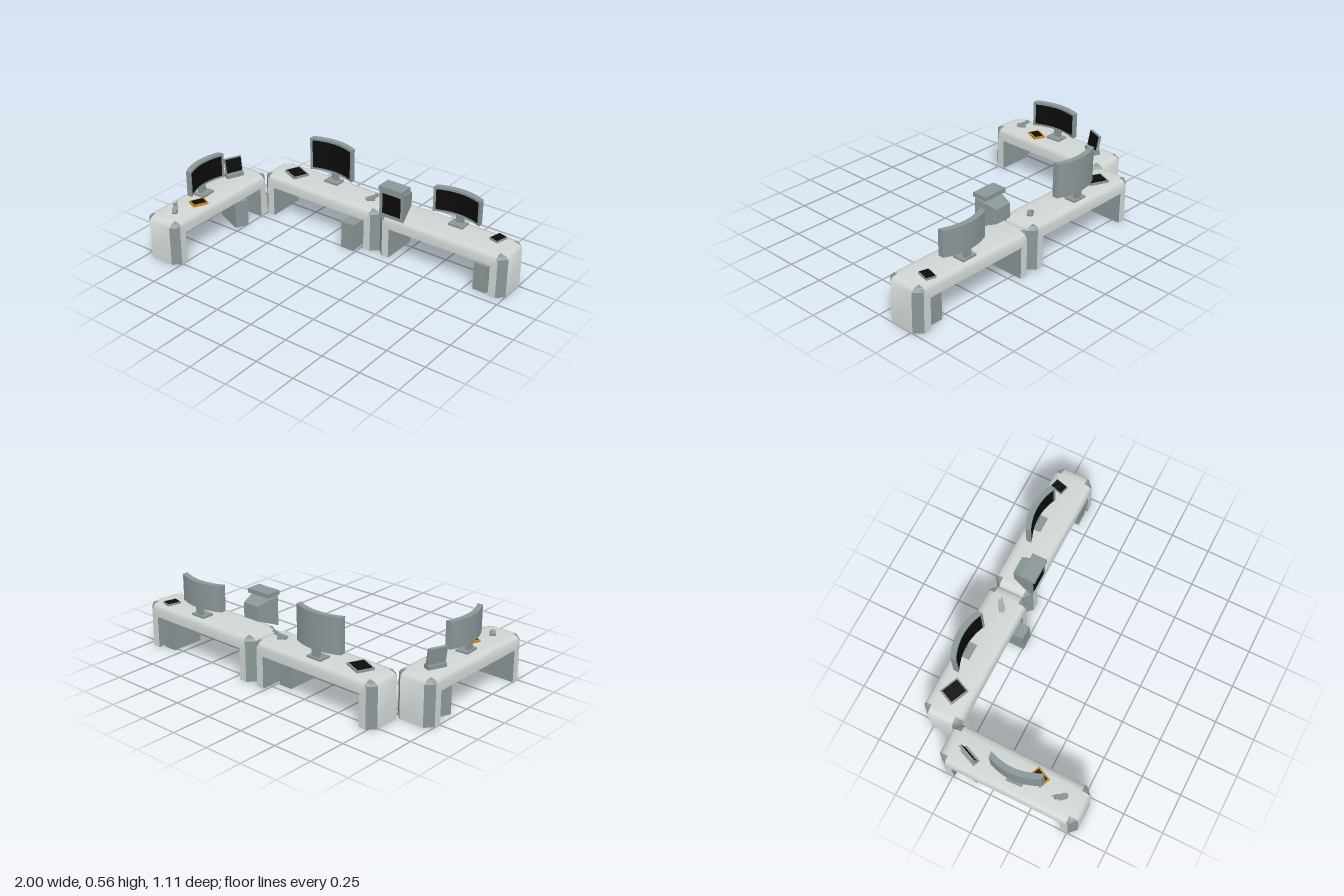
import * as THREE from 'three';
import { toCreasedNormals } from 'three/addons/utils/BufferGeometryUtils.js';

const mat = (name, color) => {
  const m = new THREE.MeshStandardMaterial({ color });
  m.name = name;
  return m;
};

export function createModel() {
  const white = mat('shellWhite', 0xd0d5d4);
  const grey = mat('panelGrey', 0x8a9698);
  const black = mat('screenBlack', 0x0c0c0c);
  const orange = mat('orange', 0xcc8718);
  const model = new THREE.Group();

  const group = (name, x, y, z, r = 0, parent = model) => {
    const g = new THREE.Group();
    g.name = name;
    g.position.set(x, y, z);
    g.rotation.y = r;
    parent.add(g);
    return g;
  };
  const mesh = (parent, name, geo, material, x = 0, y = 0, z = 0) => {
    const m = new THREE.Mesh(geo, material);
    m.name = name;
    m.position.set(x, y, z);
    parent.add(m);
    return m;
  };
  const box = (parent, name, w, h, d, material, x, y, z) =>
    mesh(parent, name, new THREE.BoxGeometry(w, h, d), material, x, y, z);
  const surface = (tris) => {
    const g = new THREE.BufferGeometry();
    g.setAttribute('position', new THREE.Float32BufferAttribute(tris.flat(), 3));
    g.computeVertexNormals();
    return g;
  };

  // Desk: a cross-section swept up one leg, over the top and down the other
  const w = 0.125, c = 0.045;
  function desk(x, z, half, r) {
    const g = group('desk', x, 0, z, r);
    // outer inset & height, side inset & height, inner height
    const ends = [
      [0, 0, c, 0, 0],
      [0, 0.252, c, 0.252, 0.2],
      [0.018, 0.271, c, 0.252, 0.2],
      [0.055, 0.28, 0.055, 0.25, 0.2],
    ];
    const ring = ([ox, oy, sx, sy, iy], side, i) => {
      const X = (inset) => side * (half - inset);
      const I = [X(0.093), iy, w], S = [X(sx), sy, w], O = [X(ox), oy, w - c];
      const M = i === 3 ? [X(ox), 0.271, w - 0.013] : S.map((v, k) => (v + O[k]) / 2);
      const back = ([a, b, d]) => [a, b, -d];
      return [back(I), back(S), back(M), back(O), O, M, S, I];
    };
    const rings = [
      ...ends.map((e, i) => ring(e, -1, i)),
      ...ends.map((e, i) => ring(e, 1, i)).reverse(),
    ];
    const shell = [], corner = [], inner = [];
    const same = (p, q) => p.every((v, k) => Math.abs(v - q[k]) < 1e-6);
    const tri = (list, a, b, d) => {
      if (!same(a, b) && !same(b, d) && !same(a, d)) list.push(...a, ...b, ...d);
    };
    for (let i = 0; i < 7; i++) {
      for (let j = 0; j < 8; j++) {
        const k = (j + 1) % 8;
        const chamfer = [1, 2, 4, 5].includes(j) && i !== 3;
        const list = j === 7 ? inner : chamfer ? corner : shell;
        tri(list, rings[i][j], rings[i][k], rings[i + 1][k]);
        tri(list, rings[i][j], rings[i + 1][k], rings[i + 1][j]);
      }
    }
    // feet
    for (let j = 1; j < 7; j++) {
      tri(inner, rings[0][0], rings[0][j + 1], rings[0][j]);
      tri(inner, rings[7][0], rings[7][j], rings[7][j + 1]);
    }
    mesh(g, 'deskShell', toCreasedNormals(surface(shell), 0.9), white);
    mesh(g, 'cornerGuards', surface(corner), grey);
    mesh(g, 'deskInside', surface(inner), grey);
  }
  desk(-0.3375, -0.43, 0.4475, 0);
  desk(0.555, -0.43, 0.445, 0);
  desk(-0.875, 0.1075, 0.4425, Math.PI / 2);

  // Curved monitors
  const bent = (bw, h, d) => {
    const g = new THREE.BoxGeometry(bw, h, d, 14, 1, 1);
    const p = g.attributes.position;
    for (let i = 0; i < p.count; i++) p.setZ(i, p.getZ(i) + 1.5 * p.getX(i) ** 2);
    g.computeVertexNormals();
    return g;
  };
  function monitor(x, z, r, h) {
    const g = group('monitor', x, 0, z, r);
    mesh(g, 'monitorCase', bent(0.32, h, 0.036), grey, 0, 0.338 + h / 2, 0);
    mesh(g, 'monitorScreen', bent(0.288, h - 0.03, 0.004), black, 0, 0.338 + h / 2, 0.0185);
    box(g, 'monitorNeck', 0.045, 0.07, 0.025, grey, 0, 0.315, 0.002);
    box(g, 'monitorFoot', 0.1, 0.012, 0.078, grey, 0, 0.286, 0.018);
  }
  monitor(-0.342, -0.503, 0, 0.217);
  monitor(0.58, -0.503, 0, 0.163);
  monitor(-0.911, 0.13, 1.63, 0.163);

  // Under-desk cabinets
  function cabinet(x, z, r) {
    const g = group('cabinet', x, 0, z, r);
    box(g, 'cabinetBody', 0.09, 0.18, 0.21, grey, 0, 0.09, 0);
    box(g, 'cabinetHandle', 0.005, 0.03, 0.006, grey, 0.024, 0.14, 0.106);
    box(g, 'cabinetLabel', 0.042, 0.014, 0.004, grey, 0, 0.026, 0.106);
  }
  cabinet(-0.06, -0.347, 0);
  cabinet(0.842, -0.42, 0);
  cabinet(-0.859, -0.108, 1.17);

  // Boxy terminal with a tapering back and a unit on top
  const terminal = group('terminal', 0.2225, 0, -0.3);
  const taper = new THREE.BoxGeometry(0.175, 0.183, 0.135);
  const tp = taper.attributes.position;
  for (let i = 0; i < tp.count; i++) {
    if (tp.getZ(i) < 0) {
      tp.setX(i, tp.getX(i) * 0.63);
      tp.setY(i, tp.getY(i) > 0 ? 0.055 : -0.036);
    }
  }
  taper.computeVertexNormals();
  mesh(terminal, 'terminalCase', taper, grey, 0, 0.3715, -0.0675);
  box(terminal, 'terminalScreen', 0.128, 0.132, 0.004, black, 0, 0.371, 0.001);
  box(terminal, 'terminalTopUnit', 0.163, 0.026, 0.095, grey, 0, 0.477, -0.028);

  // Small tilted display
  const display = group('smallDisplay', -0.9, 0.28, -0.165, 1.17);
  box(display, 'displayBase', 0.115, 0.024, 0.045, grey, 0, 0.012, 0);
  const panel = group('displayPanel', 0, 0.02, 0, 0, display);
  panel.rotation.x = -0.18;
  box(panel, 'displayCase', 0.115, 0.106, 0.016, grey, 0, 0.053, 0);
  box(panel, 'displayScreen', 0.106, 0.09, 0.004, black, 0, 0.056, 0.008);

  // Flat tablets
  function tablet(x, z, r, tw, td, rim, material) {
    const g = group('tablet', x, 0.28, z, r);
    box(g, 'tabletCase', tw, 0.012, td, material, 0, 0.006, 0);
    box(g, 'tabletScreen', tw - rim, 0.003, td - rim, black, 0, 0.0125, 0);
  }
  tablet(-0.6, -0.43, -0.42, 0.128, 0.108, 0.02, grey);
  tablet(0.855, -0.48, -0.26, 0.063, 0.085, 0.008, grey);
  tablet(-0.833, 0.245, -0.42, 0.074, 0.098, 0.02, orange);

  // Handsets resting on cradles
  function handset(x, z, r) {
    const g = group('handset', x, 0.28, z, r);
    box(g, 'cradle', 0.05, 0.014, 0.034, grey, -0.005, 0.007, 0);
    const h = group('handsetGrip', 0, 0.02, 0, 0, g);
    h.rotation.z = 0.35;
    box(h, 'handsetBody', 0.082, 0.01, 0.026, grey, 0, 0, 0);
    box(h, 'earpiece', 0.014, 0.008, 0.024, grey, 0.03, 0.008, 0);
    box(h, 'aerial', 0.016, 0.006, 0.006, grey, 0.047, 0.002, 0.008);
  }
  handset(-0.01, -0.43, 0.57);
  handset(-0.88, 0.405, 2.24);

  return model;
}
